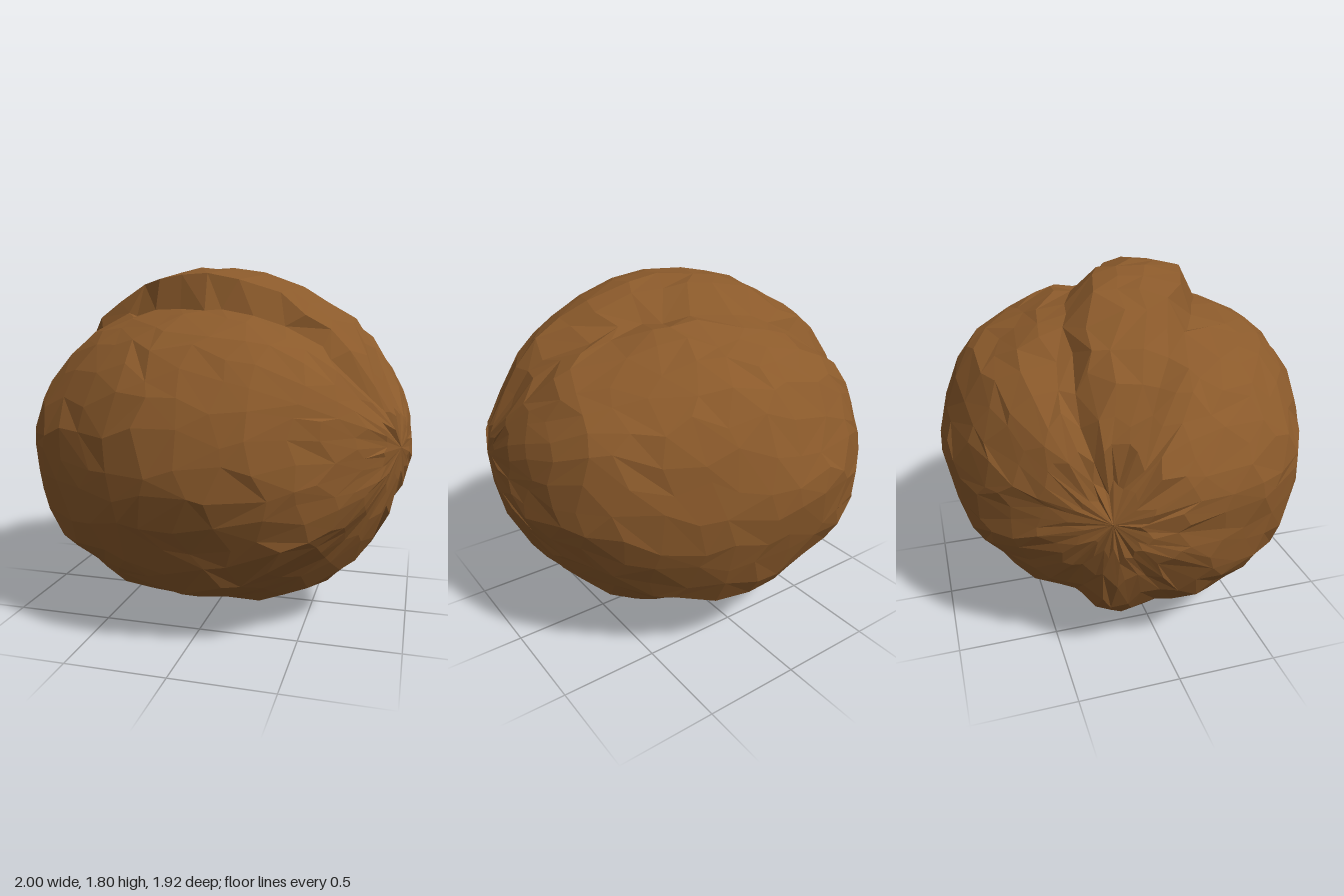
import * as THREE from 'three';

// Radii every 30 degrees of the three middle sections, without the seam band
const FRONT = [1.0, 0.95, 0.825, 0.785, 0.805, 0.91, 1.0, 1.0, 0.96, 0.85, 0.925, 0.94]; // +x to +y
const SIDE = [0.96, 0.91, 0.815, 0.78, 0.84, 0.94, 0.96, 0.93, 0.885, 0.85, 0.885, 0.94]; // +z to +y
const PLAN = [0.99, 0.97, 0.98, 0.95, 0.95, 1.0, 1.0, 0.95, 0.99, 0.95, 0.925, 0.99]; // +x to +z

// Shell axis between the two tips where the seams meet
const AXIS = new THREE.Vector3(1.8, 0.08, 0.6).normalize();
const UP = new THREE.Vector3(0, 1, 0).addScaledVector(AXIS, -AXIS.y).normalize();
const FORE = new THREE.Vector3().crossVectors(AXIS, UP);

// Dents (positive) and swellings (negative): direction, angular radius, depth
const DENTS = [
  [0.2, 0.78, -0.1, 0.13, 0.07],
  [-0.18, 0.6, -0.68, 0.1, 0.04],
  [0.62, 0.5, -0.5, 0.12, 0.03],
  [-0.62, 0.45, 0.52, 0.1, 0.03],
  [-0.6, -0.62, 0.3, 0.14, 0.03],
  [0.4, -0.7, 0.25, 0.14, 0.04],
  [0.3, -0.62, -0.5, 0.12, 0.04],
  [-0.45, -0.6, -0.4, 0.12, 0.04],
  [-0.82, 0.1, -0.27, 0.12, 0.07],
  [0.92, 0.1, 0.4, 0.18, -0.03],
  [0.75, -0.61, -0.25, 0.4, 0.03],
  [-0.72, -0.48, 0.5, 0.4, -0.03],
].map(([x, y, z, size, depth]) => ({ dir: new THREE.Vector3(x, y, z).normalize(), size, depth }));

function section(table, angle) {
  const t = ((angle / (Math.PI * 2) + 1) % 1) * 12;
  const i = Math.floor(t) % 12;
  const f = (1 - Math.cos((t % 1) * Math.PI)) / 2;
  return table[i] * (1 - f) + table[(i + 1) % 12] * f;
}

// Repeatable jitter from -0.5 to 0.5
function hash(i, j, k) {
  const s = Math.sin(i * 12.99 + j * 78.23 + k * 37.72) * 4375.85;
  return s - Math.floor(s) - 0.5;
}

const step = THREE.MathUtils.smoothstep;
const dip = (x, centre, width) => Math.exp(-(((x - centre) / width) ** 2));

function shellRadius(d) {
  // Blend the three sections, each strongest near its own plane
  const wf = 1 / (d.z * d.z + 0.02), ws = 1 / (d.x * d.x + 0.02), wp = 1 / (d.y * d.y + 0.02);
  let r = (wf * section(FRONT, Math.atan2(d.y, d.x))
    + ws * section(SIDE, Math.atan2(d.y, d.z))
    + wp * section(PLAN, Math.atan2(d.z, d.x))) / (wf + ws + wp);

  // Raised seam band over the top and underneath, dying away at the tips
  const along = d.dot(AXIS);
  const lon = Math.atan2(d.dot(FORE), d.dot(UP));
  const under = Math.atan2(-d.dot(FORE), -d.dot(UP));
  const sine = Math.sqrt(Math.max(0, 1 - along * along));
  const band = step(lon, -0.28, -0.12) * (1 - step(lon, 0.36, 0.46));
  const lower = step(under, -0.35, -0.05) * (1 - step(under, 0.05, 0.35));
  r += step(sine, 0.3, 1) * 0.1 * band + step(sine, 0.15, 0.7) * 0.035 * lower;

  // Grooves beside the bands, running into the tips
  const fade = step(sine, 0.08, 0.4);
  r -= fade * (0.035 * dip(lon, 0.5, 0.1) + 0.03 * dip(lon, -0.36, 0.1) + 0.02 * dip(Math.abs(under), 0.42, 0.1));

  // Wrinkles from tip to tip, deeper on the underside
  const rough = 0.004 + 0.008 * step(-d.y, -0.1, 0.8);
  r += fade * rough * (Math.sin(lon * 11 + along * 3) + Math.sin(lon * 6 - along * 7 + 1));
  for (const dent of DENTS) r -= dent.depth * dip(d.angleTo(dent.dir), 0, dent.size);
  return r;
}

export function createModel() {
  // Columns run from tip to tip so that the folds follow the seams
  const columns = 40, rows = 18;
  const points = [], faces = [];
  for (let i = 0; i <= rows; i++) {
    for (let j = 0; j < columns; j++) {
      const inner = i > 0 && i < rows;
      const polar = ((i + (inner ? hash(i, j, 1) * 0.65 : 0)) / rows) * Math.PI;
      const lon = ((j + (inner ? hash(i, j, 2) * 0.6 : 0)) / columns) * Math.PI * 2;
      const d = AXIS.clone().multiplyScalar(Math.cos(polar))
        .addScaledVector(UP, Math.sin(polar) * Math.cos(lon))
        .addScaledVector(FORE, Math.sin(polar) * Math.sin(lon));
      d.multiplyScalar(shellRadius(d) + (inner ? hash(i, j, 3) * 0.012 : 0));
      points.push(d.x, d.y, d.z);
      if (i === rows) continue;
      const next = (j + 1) % columns;
      const a = i * columns + j, b = i * columns + next, c = a + columns, e = b + columns;
      // Alternate the diagonals; the tips need one triangle per column
      if (i === 0) faces.push(a, c, e);
      else if (i === rows - 1) faces.push(a, c, b);
      else if (hash(i, j, 4) > 0) faces.push(a, c, b, b, c, e);
      else faces.push(a, c, e, a, e, b);
    }
  }
  const grid = new THREE.BufferGeometry();
  grid.setAttribute('position', new THREE.Float32BufferAttribute(points, 3));
  grid.setIndex(faces);

  // Stand on the floor
  const geometry = grid.toNonIndexed();
  geometry.computeBoundingBox();
  geometry.translate(0, -geometry.boundingBox.min.y, 0);
  geometry.computeVertexNormals();

  const shell = new THREE.Mesh(geometry, new THREE.MeshStandardMaterial({ color: 0x8b5a2b, flatShading: true }));
  shell.name = 'nutShell';
  const group = new THREE.Group();
  group.name = 'walnut';
  group.add(shell);
  return group;
}
